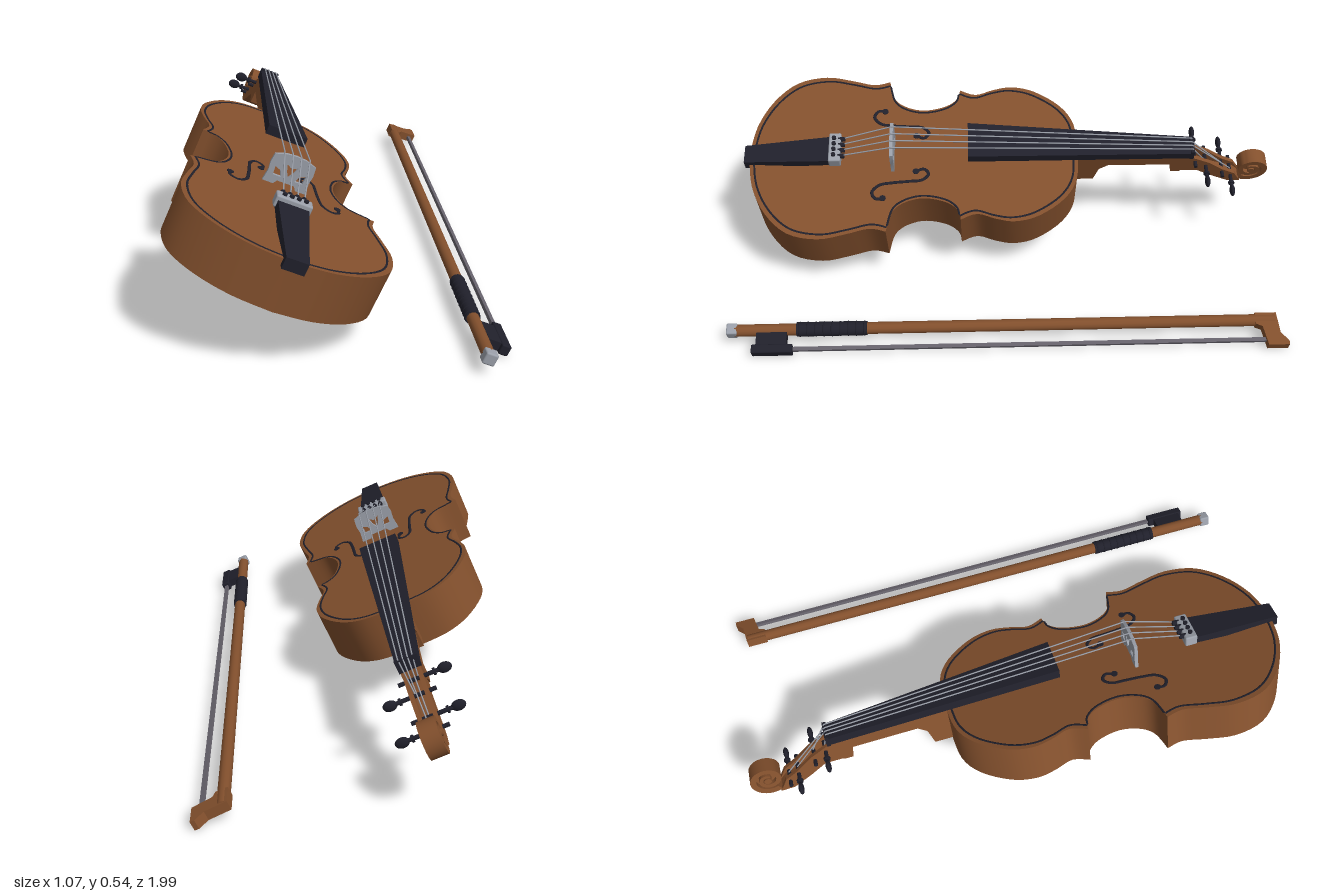
import * as THREE from 'three';
import { toCreasedNormals } from 'three/addons/utils/BufferGeometryUtils.js';
import { RoundedBoxGeometry } from 'three/addons/geometries/RoundedBoxGeometry.js';

const material = (name, color) => Object.assign(new THREE.MeshStandardMaterial({ color }), { name });
const wood = material('varnished wood', 0x83502d);
const ebony = material('ebony', 0x20202b);
const metal = material('silver metal', 0x9a9fa9);
const hairMat = material('bow hair', 0x66626b);

const V = (x, y, z) => new THREE.Vector3(x, y, z);
const vec2 = (pts) => pts.map(([a, b]) => new THREE.Vector2(a, b));

function add(group, name, geometry, mat, x = 0, y = 0, z = 0) {
  const mesh = new THREE.Mesh(geometry, mat);
  mesh.name = name;
  mesh.position.set(x, y, z);
  group.add(mesh);
  return mesh;
}

function extrude(points, depth, holes = []) {
  const shape = new THREE.Shape(points);
  holes.forEach((h) => shape.holes.push(new THREE.Path(h)));
  const geo = new THREE.ExtrudeGeometry(shape, { depth, bevelEnabled: false });
  return toCreasedNormals(geo, 0.5);
}
// plan outline (x, z), extruded downwards from y = 0
const plan = (points, depth) => extrude(points, depth).rotateX(Math.PI / 2);
// side profile (z, y), extruded across x and centred
const profile = (points, width) => extrude(points, width).rotateY(-Math.PI / 2).translate(width / 2, 0, 0);

// box with different end sections: [z, half width, bottom, top]
function taper(a, b) {
  const geo = new THREE.BoxGeometry(2, 1, 1);
  const p = geo.attributes.position;
  for (let i = 0; i < p.count; i++) {
    const s = p.getZ(i) > 0 ? a : b;
    p.setXYZ(i, p.getX(i) * s[1], p.getY(i) > 0 ? s[3] : s[2], s[0]);
  }
  geo.computeVertexNormals();
  return geo;
}

function rod(group, name, a, b, r, mat, sides = 8) {
  const mesh = add(group, name, new THREE.CylinderGeometry(r, r, a.distanceTo(b), sides), mat);
  mesh.position.copy(a).add(b).multiplyScalar(0.5);
  mesh.quaternion.setFromUnitVectors(V(0, 1, 0), b.clone().sub(a).normalize());
}

// closed body outline made of three bouts, mirrored
function bodyOutline() {
  const bouts = [
    [[0, -0.26], [0.12, -0.25], [0.205, -0.2], [0.273, -0.105], [0.295, -0.02], [0.284, 0.05], [0.262, 0.12], [0.284, 0.18]],
    [[0.284, 0.18], [0.245, 0.19], [0.21, 0.235], [0.193, 0.315], [0.21, 0.385], [0.25, 0.43], [0.328, 0.45]],
    [[0.328, 0.45], [0.315, 0.51], [0.336, 0.595], [0.354, 0.695], [0.328, 0.805], [0.245, 0.89], [0.13, 0.945], [0, 0.965]],
  ];
  const half = bouts.flatMap((b) => new THREE.SplineCurve(vec2(b)).getPoints(28).slice(0, -1));
  half.push(new THREE.Vector2(0, 0.965));
  const mirrored = half.slice(1, -1).reverse().map((p) => new THREE.Vector2(-p.x, p.y));
  return half.concat(mirrored);
}

function buildBody(g) {
  const outline = bodyOutline();
  add(g, 'body', plan(outline, 0.172), wood);

  // inlaid border line
  const line = new THREE.CatmullRomCurve3(
    outline.map((p) => V(p.x * 0.945, 0, 0.3525 + (p.y - 0.3525) * 0.973)), true);
  add(g, 'borderInlay', new THREE.TubeGeometry(line, 320, 0.004, 6, true).scale(1, 0.5, 1), ebony);

  // sound holes
  const f = [[0.078, 0.345], [0.068, 0.315], [0.09, 0.298], [0.114, 0.32], [0.12, 0.37], [0.125, 0.43],
    [0.135, 0.48], [0.165, 0.505], [0.192, 0.49], [0.19, 0.465]];
  for (const s of [-1, 1]) {
    const curve = new THREE.CatmullRomCurve3(f.map(([x, z]) => V(s * x, 0, z)));
    add(g, 'soundHole', new THREE.TubeGeometry(curve, 50, 0.006, 8).scale(1, 0.4, 1), ebony);
    for (const [x, z] of [f[0], f[9]])
      add(g, 'soundHoleEnd', new THREE.CylinderGeometry(0.012, 0.012, 0.005, 16), ebony, s * x, 0, z);
  }
}

function buildNeck(g) {
  add(g, 'neck', profile(vec2([[-0.25, 0.022], [-0.25, -0.145], [-0.325, -0.145], [-0.343, -0.075], [-0.375, -0.048],
    [-0.61, -0.05], [-0.618, -0.1], [-0.65, -0.1], [-0.68, -0.07], [-0.68, -0.005]]), 0.072), wood);
  add(g, 'fingerboard', taper([0.15, 0.073, 0.055, 0.09], [-0.68, 0.038, -0.005, 0.027]), ebony);
  add(g, 'nut', new THREE.BoxGeometry(0.076, 0.045, 0.014), ebony, 0, 0.012, -0.686);

  // open peg box: two cheeks and a floor
  const lower = [[-0.9, -0.182], [-0.85, -0.18], [-0.78, -0.14], [-0.72, -0.1], [-0.65, -0.1]];
  const cheek = vec2([[-0.65, -0.005], [-0.69, -0.012], [-0.76, -0.05], [-0.82, -0.1], [-0.87, -0.13], ...lower]);
  const floor = vec2([[-0.65, -0.06], [-0.72, -0.075], [-0.79, -0.118], [-0.87, -0.15], ...lower]);
  for (const s of [-1, 1]) add(g, 'pegBoxCheek', profile(cheek, 0.014), wood, s * 0.025);
  add(g, 'pegBoxFloor', profile(floor, 0.04), wood);

  // scroll: spiral band around a core
  const outer = [], inner = [];
  for (let i = 0; i <= 60; i++) {
    const t = i / 60, a = -Math.PI / 3 - t * Math.PI * 3.4;
    const r = 0.074 - 0.054 * t, w = 0.024 - 0.012 * t;
    outer.push(new THREE.Vector2(-0.93 + r * Math.cos(a), -0.11 + r * Math.sin(a)));
    inner.unshift(new THREE.Vector2(-0.93 + (r - w) * Math.cos(a), -0.11 + (r - w) * Math.sin(a)));
  }
  add(g, 'scroll', profile(outer.concat(inner), 0.058), wood);
  const disc = (r, w) => new THREE.CylinderGeometry(r, r, w, 24).rotateZ(Math.PI / 2);
  add(g, 'scrollCore', disc(0.045, 0.026), wood, 0, -0.11, -0.93);
  add(g, 'scrollEye', disc(0.013, 0.068), wood, 0, -0.11, -0.93);
}

const pegs = [[-0.705, -0.04, -1], [-0.75, -0.07, 1], [-0.82, -0.115, -1], [-0.857, -0.142, 1]];

function buildPegs(g) {
  for (const [z, y, s] of pegs) {
    rod(g, 'pegShaft', V(-s * 0.055, y, z), V(s * 0.09, y, z), 0.007, ebony, 12);
    rod(g, 'pegCollar', V(s * 0.062, y, z), V(s * 0.07, y, z), 0.012, ebony, 12);
    add(g, 'pegHead', new THREE.SphereGeometry(1, 16, 10).scale(0.024, 0.019, 0.01), ebony, s * 0.1, y, z);
  }
}

function buildStringsAndFittings(g) {
  // bridge with cut-outs
  const outline = vec2([[-0.077, 0], [-0.04, 0], [-0.03, 0.014], [0.03, 0.014], [0.04, 0], [0.077, 0], [0.072, 0.04],
    [0.076, 0.07], [0.072, 0.1], [0.035, 0.112], [0, 0.115], [-0.035, 0.112], [-0.072, 0.1], [-0.076, 0.07], [-0.072, 0.04]]);
  const holes = [vec2([[0, 0.035], [0.012, 0.055], [0.02, 0.08], [0, 0.068], [-0.02, 0.08], [-0.012, 0.055]])];
  for (const s of [-1, 1])
    holes.push(vec2([[s * 0.025, 0.03], [s * 0.052, 0.03], [s * 0.055, 0.06], [s * 0.035, 0.052]]));
  add(g, 'bridge', extrude(outline, 0.012, holes), metal, 0, 0, 0.424);

  // tailpiece and fine tuners
  add(g, 'tailpiece', taper([0.98, 0.036, -0.024, 0.016], [0.62, 0.055, 0.02, 0.046]), ebony);
  add(g, 'tunerBar', new RoundedBoxGeometry(0.122, 0.042, 0.045, 2, 0.006), metal, 0, 0.037, 0.642);

  for (let i = 0; i < 4; i++) {
    const k = (i - 1.5) / 1.5;
    const [pz, py] = pegs[[0, 2, 3, 1][i]];
    add(g, 'tunerScrew', new THREE.CylinderGeometry(0.008, 0.008, 0.012, 12), ebony, k * 0.036, 0.06, 0.645);
    rod(g, 'tunerHook', V(k * 0.036, 0.05, 0.605), V(k * 0.036, 0.05, 0.63), 0.009, ebony, 10);
    const path = [V(k * 0.036, 0.052, 0.62), V(k * 0.045, 0.116, 0.43), V(k * 0.024, 0.038, -0.686), V(k * 0.014, py + 0.007, pz)];
    for (let j = 0; j < 3; j++) rod(g, 'string', path[j], path[j + 1], 0.0025, metal, 6);
  }
}

function buildBow(g) {
  rod(g, 'bowStick', V(0, 0, -0.92), V(0, 0, 0.97), 0.021, wood, 12);
  rod(g, 'bowGrip', V(0, 0, 0.51), V(0, 0, 0.755), 0.025, ebony, 16);
  for (let i = 0; i < 9; i++)
    add(g, 'gripWinding', new THREE.TorusGeometry(0.024, 0.003, 6, 16), ebony, 0, 0, 0.52 + i * 0.028);
  add(g, 'bowEndCap', new RoundedBoxGeometry(0.041, 0.041, 0.038, 2, 0.006), metal, 0, 0, 0.979);

  // head at the far end
  const head = vec2([[-0.021, -0.925], [0.055, -0.932], [0.085, -0.958], [0.1, -0.958], [0.1, -0.885], [0.03, -0.872], [0.021, -0.85], [-0.021, -0.85]]);
  add(g, 'bowHead', plan(head, 0.034), wood, 0, 0.017, 0);

  // frog and hair
  add(g, 'frog', new THREE.BoxGeometry(0.05, 0.03, 0.105), ebony, 0.04, 0, 0.84);
  add(g, 'frogSlide', new RoundedBoxGeometry(0.032, 0.036, 0.142, 2, 0.005), ebony, 0.075, 0, 0.836);
  add(g, 'bowHair', new THREE.BoxGeometry(0.014, 0.012, 1.66), hairMat, 0.074, 0, -0.06);
}

export function createModel() {
  const model = new THREE.Group();
  model.name = 'violinAndBow';
  const tilt = -0.414;

  const violin = new THREE.Group();
  violin.name = 'violin';
  violin.position.set(-0.14, 0.395, 0);
  violin.rotation.z = tilt;
  buildBody(violin);
  buildNeck(violin);
  buildPegs(violin);
  buildStringsAndFittings(violin);

  const bow = new THREE.Group();
  bow.name = 'bow';
  bow.position.set(0.44, 0.057, 0);
  bow.rotation.z = tilt;
  buildBow(bow);

  model.add(violin, bow);
  return model;
}
